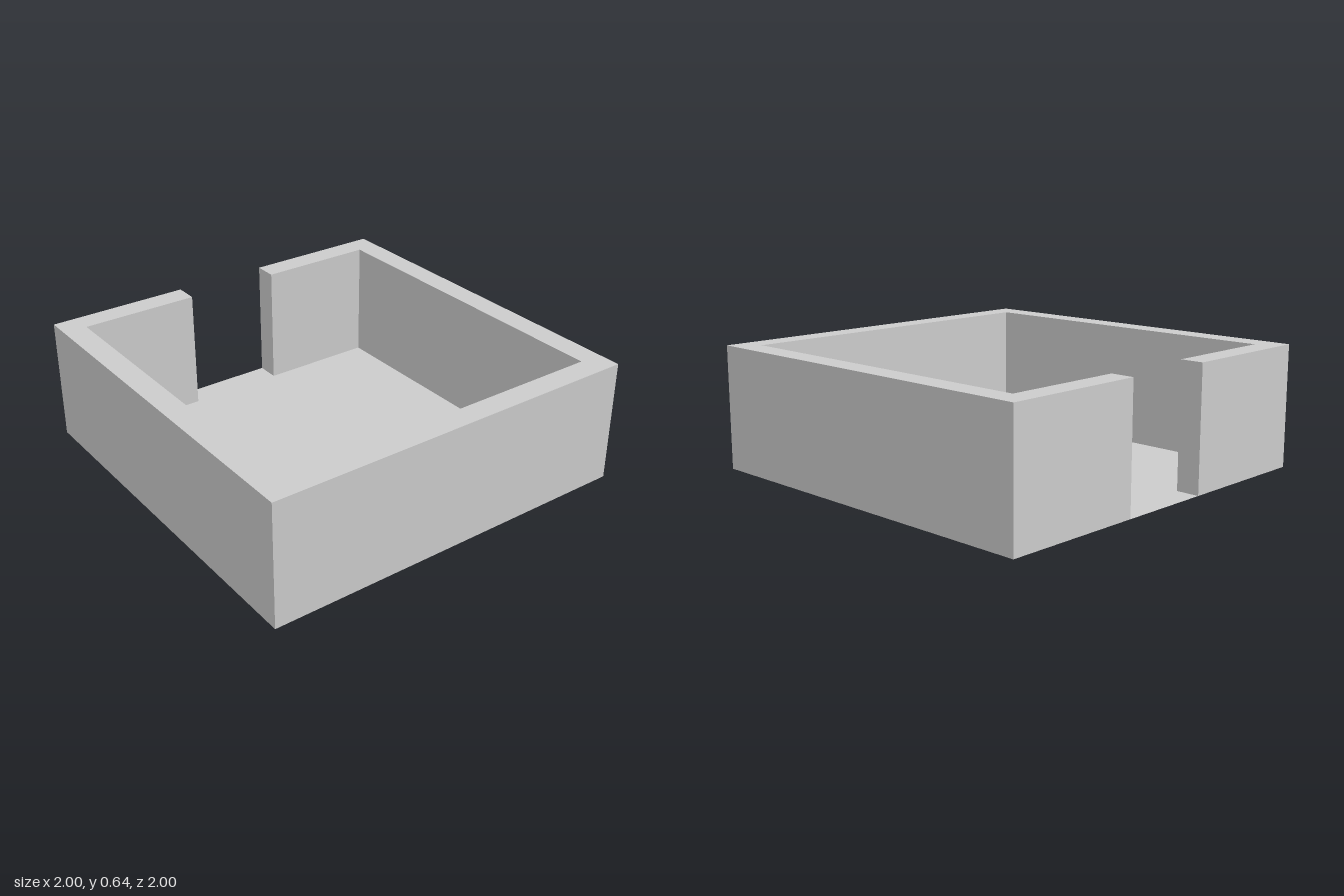
import * as THREE from 'three';

const HEIGHT = 0.64;
const OUTER = 1;
const INNER = 0.877;
const DOOR = 0.255; // half width of the doorway in the back wall

const material = new THREE.MeshStandardMaterial({
  color: 0xcccccc, flatShading: true, side: THREE.DoubleSide,
});

// Plan outlines are drawn with the back at +y, then laid flat.
const plan = (points) => new THREE.Shape(points.map(([x, y]) => new THREE.Vector2(x, y)));

// The inside of the room, from one door jamb round to the other
const inside = [
  [-DOOR, OUTER], [-DOOR, INNER], [-INNER, INNER], [-INNER, -INNER],
  [INNER, -INNER], [INNER, INNER], [DOOR, INNER], [DOOR, OUTER],
];
const outside = [[OUTER, OUTER], [OUTER, -OUTER], [-OUTER, -OUTER], [-OUTER, OUTER]];

// Removes the triangles that face straight down, leaving the walls hollow underneath
function openBottom(geometry) {
  const source = geometry.index ? geometry.toNonIndexed() : geometry;
  const position = source.attributes.position;
  const corners = [0, 1, 2].map(() => new THREE.Vector3());
  const kept = [];
  for (let i = 0; i < position.count; i += 3) {
    corners.forEach((c, k) => c.fromBufferAttribute(position, i + k));
    if (corners.every((c) => c.y < 1e-4)) continue;
    corners.forEach((c) => kept.push(c.x, c.y, c.z));
  }
  const result = new THREE.BufferGeometry();
  result.setAttribute('position', new THREE.Float32BufferAttribute(kept, 3));
  result.computeVertexNormals();
  return result;
}

export function createModel() {
  const model = new THREE.Group();
  model.name = 'openRoom';

  // Thick walls with a full-height doorway at the back
  const wallGeometry = new THREE.ExtrudeGeometry(plan([...inside, ...outside]), {
    depth: HEIGHT, bevelEnabled: false,
  }).rotateX(-Math.PI / 2);
  const walls = new THREE.Mesh(openBottom(wallGeometry), material);
  walls.name = 'walls';
  model.add(walls);

  // Thin floor that runs out through the doorway
  const floor = new THREE.Mesh(new THREE.ShapeGeometry(plan(inside)).rotateX(-Math.PI / 2), material);
  floor.name = 'floor';
  model.add(floor);

  return model;
}
